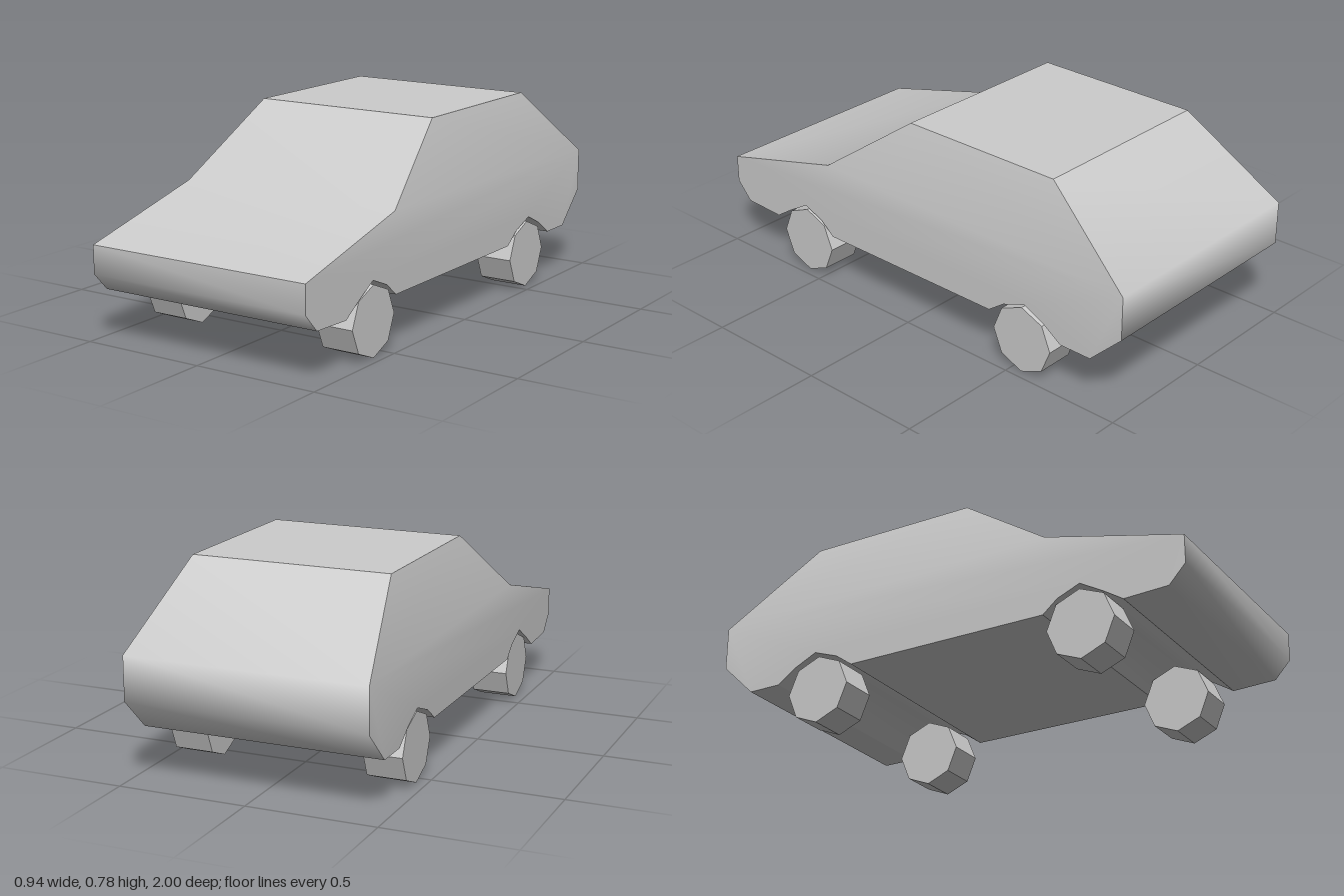
import * as THREE from 'three';
import { mergeGeometries } from 'three/addons/utils/BufferGeometryUtils.js';

const HALF_WIDTH = 0.468, ROOF_HALF_WIDTH = 0.389;

// Side profile as [z, y]: nose, underside with wheel arches, tail, roof, windshield foot
const PROFILE = [
  [1, 0.37], [1, 0.26], [0.935, 0.19], [0.76, 0.183],
  [0.68, 0.235], [0.59, 0.287], [0.5, 0.25], [0.44, 0.2],
  [-0.39, 0.2], [-0.46, 0.25], [-0.56, 0.287], [-0.65, 0.245],
  [-0.73, 0.19], [-0.865, 0.19], [-1, 0.32], [-1, 0.49],
  [-0.62, 0.78], [0.07, 0.78], [0.45, 0.51],
];

// Runs of profile points that share smooth shading
const STRIPS = [
  [0, 1, 2, 3],         // nose
  [3, 4, 5, 6, 7],      // front wheel arch
  [7, 8],               // floor
  [8, 9, 10, 11, 12],   // rear wheel arch
  [12, 13],             // rear underside
  [13, 14, 15, 16],     // tail and rear window
  [16, 17],             // roof
  [17, 18, 0],          // windshield and hood
];
const LOWER_SIDE = [...Array(16).keys(), 18];
const CABIN_SIDE = [15, 16, 17, 18];

function corner(i, side) {
  const [z, y] = PROFILE[i];
  return [side * (y > 0.6 ? ROOF_HALF_WIDTH : HALF_WIDTH), y, z];
}

function smoothGeometry(positions, index) {
  const g = new THREE.BufferGeometry();
  g.setAttribute('position', new THREE.Float32BufferAttribute(positions, 3));
  g.setIndex(index);
  g.computeVertexNormals();
  return g;
}

// Skin across the car's width
function strip(ids) {
  const positions = ids.flatMap((i) => [...corner(i, 1), ...corner(i, -1)]);
  const index = [];
  for (let k = 0; k < ids.length - 1; k++) {
    const a = 2 * k;
    index.push(a, a + 1, a + 2, a + 1, a + 3, a + 2);
  }
  return smoothGeometry(positions, index);
}

// Upright lower flank plus the cabin side leaning in to the roof
function flank(side) {
  const index = [];
  for (const ids of [LOWER_SIDE, CABIN_SIDE]) {
    const outline = ids.map((i) => new THREE.Vector2(-PROFILE[i][0], PROFILE[i][1]));
    for (const [a, b, c] of THREE.ShapeUtils.triangulateShape(outline, [])) {
      const t = [ids[a], ids[b], ids[c]];
      index.push(...(side > 0 ? t : t.reverse()));
    }
  }
  return smoothGeometry(PROFILE.flatMap((_, i) => corner(i, side)), index);
}

export function createModel() {
  const car = new THREE.Group();
  car.name = 'car';
  const grey = new THREE.MeshStandardMaterial({ color: 0xcccccc });
  const flatGrey = new THREE.MeshStandardMaterial({ color: 0xcccccc, flatShading: true });

  const body = new THREE.Mesh(
    mergeGeometries([...STRIPS.map(strip), flank(1), flank(-1)]), grey);
  body.name = 'body';
  car.add(body);

  // Eight-sided wheels
  const wheelGeometry = new THREE.CylinderGeometry(0.135, 0.135, 0.152, 8).rotateZ(Math.PI / 2);
  for (const [end, z] of [['front', 0.585], ['rear', -0.547]]) {
    for (const [name, x] of [['Left', 0.391], ['Right', -0.384]]) {
      const wheel = new THREE.Mesh(wheelGeometry, flatGrey);
      wheel.name = `${end}${name}Wheel`;
      wheel.position.set(x, 0.135, z);
      car.add(wheel);
    }
  }
  return car;
}
